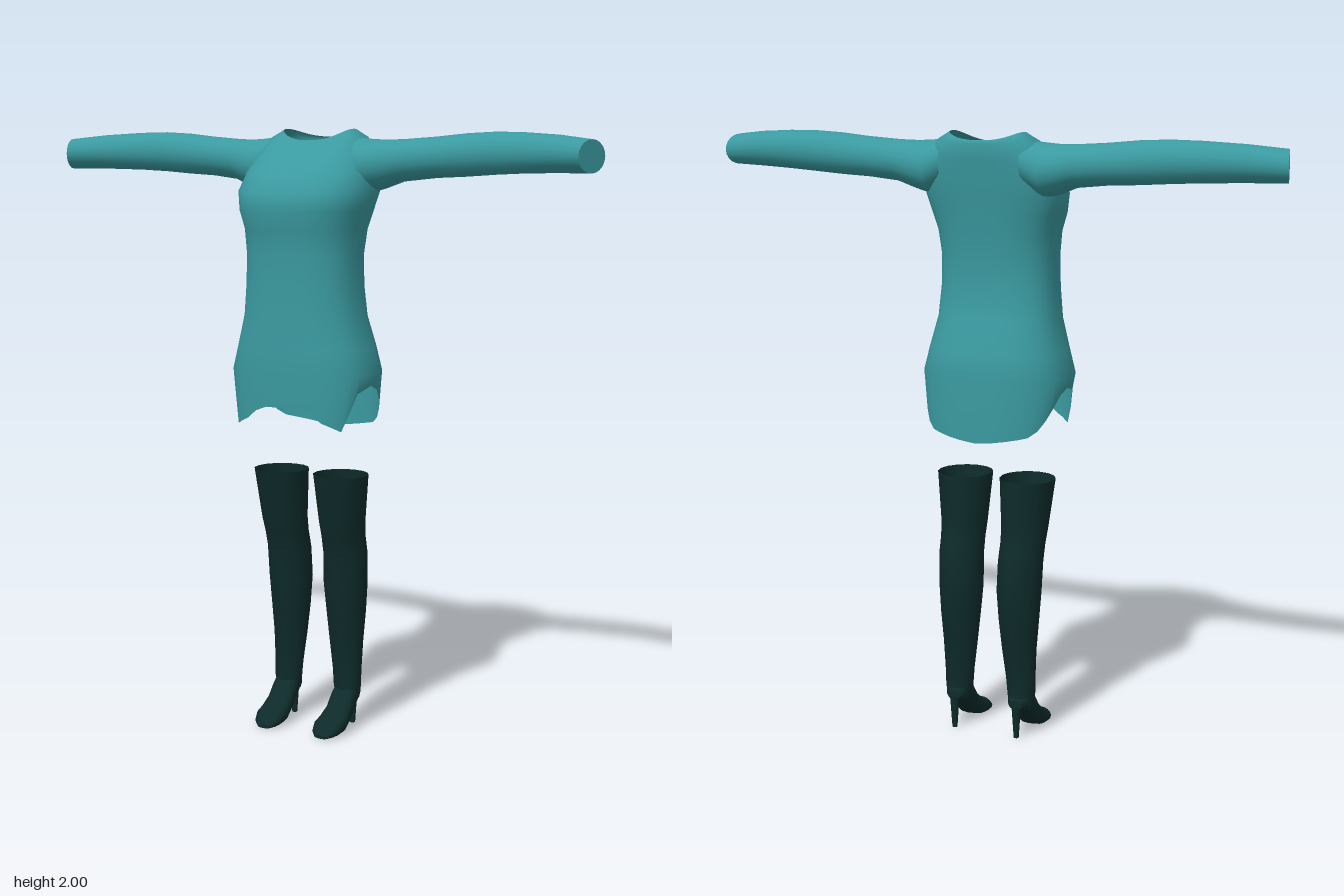
import * as THREE from 'three';

const dress = new THREE.MeshStandardMaterial({ color: 0x3a9aa0, side: THREE.DoubleSide });
dress.name = 'teal knit';
const leather = new THREE.MeshStandardMaterial({ color: 0x0e2a2a, side: THREE.DoubleSide });
leather.name = 'dark leather';

// signed power, for squared-off ellipses
const spow = (v, e) => Math.sign(v) * Math.pow(Math.abs(v), e);

// closed ring of n points, point(cos, sin, angle) -> [x, y, z]
function ring(n, point) {
  return Array.from({ length: n }, (_, j) => {
    const t = (j / n) * Math.PI * 2;
    return point(Math.cos(t), Math.sin(t), t);
  });
}

// skin through a list of rings, with optional flat caps
function loft(rings, { flip = false, capStart = false, capEnd = false } = {}) {
  const n = rings[0].length;
  const pos = rings.flat(2);
  const index = [];
  const tri = (a, b, c) => (flip ? index.push(a, c, b) : index.push(a, b, c));
  for (let i = 0; i < rings.length - 1; i++) {
    for (let j = 0; j < n; j++) {
      const k = (j + 1) % n;
      const a = i * n + j, b = i * n + k;
      tri(a, a + n, b);
      tri(b, a + n, b + n);
    }
  }
  const cap = (r, end) => {
    const base = pos.length / 3;
    pos.push(...r.flat());
    pos.push(...[0, 1, 2].map((q) => r.reduce((sum, p) => sum + p[q], 0) / n));
    for (let j = 0; j < n; j++) {
      const k = (j + 1) % n;
      if (end) tri(base + j, base + n, base + k);
      else tri(base + j, base + k, base + n);
    }
  };
  if (capStart) cap(rings[0], false);
  if (capEnd) cap(rings[rings.length - 1], true);
  const geo = new THREE.BufferGeometry();
  geo.setAttribute('position', new THREE.Float32BufferAttribute(pos, 3));
  geo.setIndex(index);
  geo.computeVertexNormals();
  return geo;
}

function add(parent, name, geo, mat) {
  const mesh = new THREE.Mesh(geo, mat);
  mesh.name = name;
  parent.add(mesh);
  return mesh;
}

// hem height by elevation from the side: -90 back, 0 side slit, 90 front
const HEM = [[-90, 1.01], [-45, 1.04], [-30, 1.09], [-12, 1.16], [0, 1.18],
  [20, 1.16], [40, 1.04], [62, 1.07], [75, 1.11], [90, 1.11]];
function hemY(deg) {
  for (let i = 1; i < HEM.length; i++) {
    const [a, ya] = HEM[i - 1], [b, yb] = HEM[i];
    if (deg <= b) return ya + ((yb - ya) * (deg - a)) / (b - a);
  }
  return HEM[HEM.length - 1][1];
}

function torso() {
  const n = 36;
  // y, half width, front z, back z, side z, rise at sides, rise at back
  const rows = [
    [1.22, 0.252, 0.165, -0.186, 0, 0, 0],
    [1.3, 0.23, 0.163, -0.178, 0, 0, 0],
    [1.4, 0.204, 0.16, -0.145, 0, 0, 0],
    [1.5, 0.195, 0.16, -0.127, 0, 0, 0],
    [1.6, 0.192, 0.16, -0.13, 0, 0, 0],
    [1.68, 0.2, 0.17, -0.14, -0.01, 0, 0],
    [1.74, 0.218, 0.188, -0.148, -0.02, 0, 0],
    [1.8, 0.232, 0.18, -0.158, -0.04, 0, 0],
    [1.86, 0.222, 0.135, -0.168, -0.07, 0, 0],
    [1.91, 0.2, 0.075, -0.175, -0.08, 0.01, 0.005],
    [1.945, 0.165, 0.03, -0.183, -0.09, 0.03, 0.02],
    [1.963, 0.125, -0.01, -0.165, -0.09, 0.037, 0.012],
  ];
  const section = ([y, w, zf, zb, zc, side, back], yAt) => ring(n, (c, s) => [
    w * spow(c, 0.8),
    yAt ? yAt(s) : y + side * c * c + (s < 0 ? back * s * s : 0),
    zc + (s > 0 ? zf - zc : zc - zb) * spow(s, 0.8),
  ]);
  const hem = section([0, 0.24, 0.16, -0.185, 0, 0, 0],
    (s) => hemY(THREE.MathUtils.radToDeg(Math.asin(THREE.MathUtils.clamp(s, -1, 1)))));
  return loft([hem, ...rows.map((r) => section(r))]);
}

function sleeve(side) {
  // x, top y, bottom y, back z, front z, slant of the section
  const rows = [
    [0.14, 1.975, 1.83, -0.165, 0, 0],
    [0.2, 1.968, 1.795, -0.168, 0.03, 0],
    [0.25, 1.965, 1.81, -0.165, 0.012, 0],
    [0.31, 1.967, 1.833, -0.165, -0.015, 0],
    [0.42, 1.975, 1.845, -0.17, -0.035, 0],
    [0.52, 1.985, 1.85, -0.175, -0.042, 0],
    [0.62, 1.99, 1.857, -0.172, -0.05, 0],
    [0.72, 1.988, 1.862, -0.16, -0.04, 0.006],
    [0.85, 1.98, 1.865, -0.13, -0.012, 0.012],
    [0.967, 1.967, 1.865, -0.095, 0.03, 0.018],
  ];
  const rings = rows.map(([x, top, bot, zb, zf, slant]) => ring(20, (c, s) => [
    side * (x - slant * s),
    (top + bot) / 2 + ((top - bot) / 2) * c,
    (zf + zb) / 2 + ((zf - zb) / 2) * s,
  ]));
  return loft(rings, { flip: side > 0, capEnd: true });
}

function bootShaft(side) {
  // y, inner x, outer x, back z, front z
  const rows = [
    [0.1, 0.075, 0.155, -0.118, -0.04],
    [0.14, 0.068, 0.163, -0.116, -0.036],
    [0.2, 0.062, 0.165, -0.115, -0.04],
    [0.3, 0.05, 0.168, -0.13, -0.03],
    [0.4, 0.04, 0.175, -0.145, -0.016],
    [0.5, 0.032, 0.181, -0.152, -0.003],
    [0.6, 0.034, 0.184, -0.145, 0.002],
    [0.66, 0.036, 0.184, -0.132, 0.02],
    [0.71, 0.034, 0.188, -0.124, 0.036],
    [0.875, 0.022, 0.206, -0.122, 0.065],
  ];
  const rings = rows.map(([y, xi, xo, zb, zf]) => ring(16, (c, s) => [
    side * ((xi + xo) / 2 + ((xo - xi) / 2) * c),
    y,
    (zf + zb) / 2 + ((zf - zb) / 2) * s,
  ]));
  return loft(rings, { flip: side < 0 });
}

function bootFoot(side) {
  // z, top y, bottom y, half width, centre x
  const rows = [
    [-0.122, 0.13, 0.1, 0.022, 0.115],
    [-0.105, 0.15, 0.092, 0.036, 0.115],
    [-0.075, 0.16, 0.07, 0.043, 0.115],
    [-0.045, 0.145, 0.04, 0.045, 0.115],
    [-0.015, 0.1, 0.015, 0.047, 0.115],
    [0.02, 0.07, 0.002, 0.052, 0.114],
    [0.055, 0.055, 0, 0.052, 0.113],
    [0.08, 0.035, 0, 0.043, 0.112],
    [0.098, 0.012, 0, 0.024, 0.111],
  ];
  const rings = rows.map(([z, top, bot, w, x]) => ring(16, (c, s) => [
    side * (x + w * spow(c, 0.75)),
    (top + bot) / 2 + ((top - bot) / 2) * spow(s, 0.85),
    z,
  ]));
  return loft(rings, { flip: side > 0, capStart: true, capEnd: true });
}

export function createModel() {
  const model = new THREE.Group();
  model.name = 'outfit';

  // long-sleeved tunic
  const tunic = new THREE.Group();
  tunic.name = 'tunic';
  model.add(tunic);
  add(tunic, 'tunicBody', torso(), dress);

  for (const [side, label] of [[1, 'left'], [-1, 'right']]) {
    add(tunic, label + 'Sleeve', sleeve(side), dress);

    // over-knee heeled boot
    const boot = new THREE.Group();
    boot.name = label + 'Boot';
    model.add(boot);
    add(boot, label + 'BootShaft', bootShaft(side), leather);
    add(boot, label + 'BootFoot', bootFoot(side), leather);
    const heel = add(boot, label + 'BootHeel', new THREE.CylinderGeometry(0.017, 0.009, 0.112, 8), leather);
    heel.position.set(side * 0.115, 0.056, -0.115);
  }
  return model;
}
